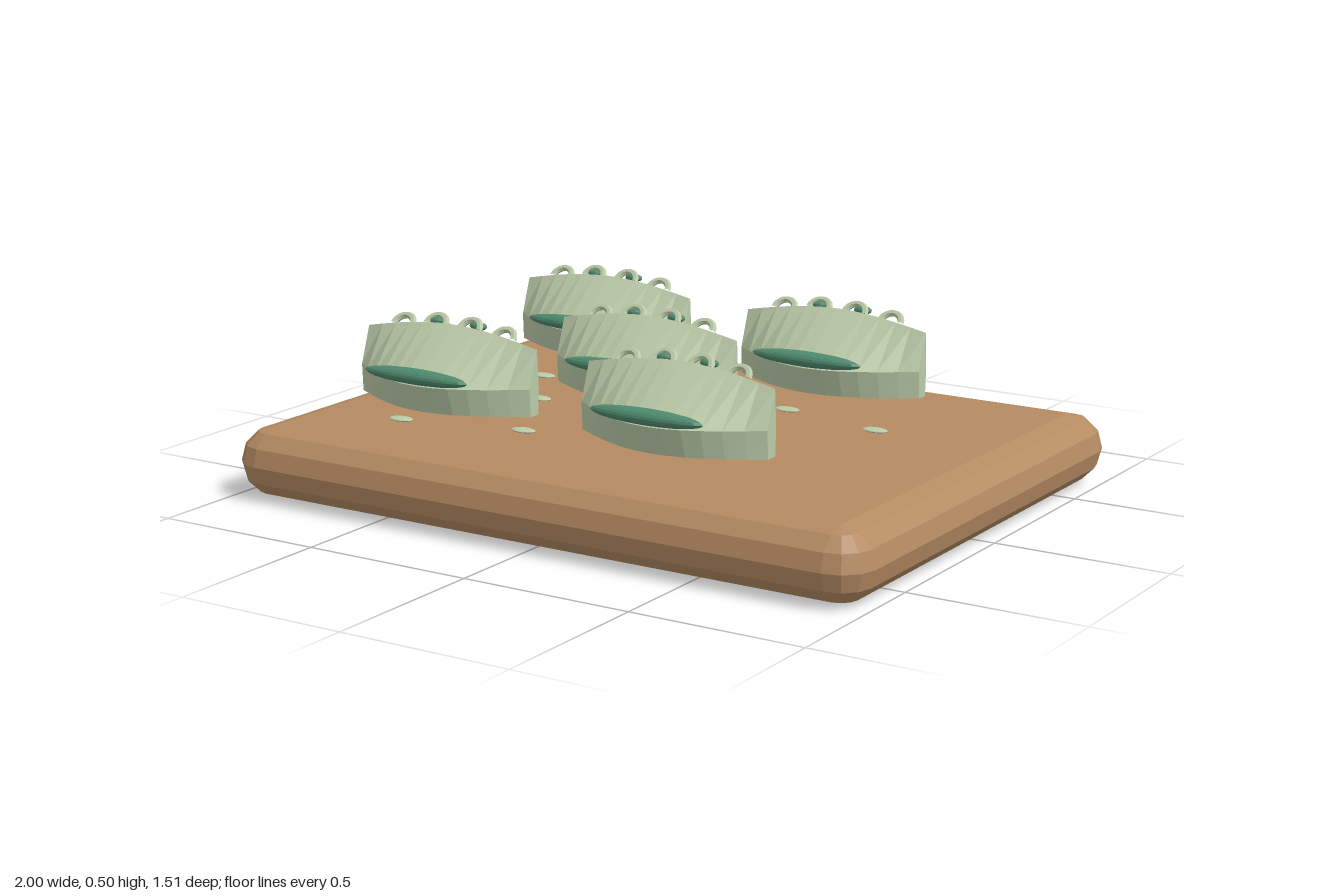
import * as THREE from 'three';
import { ConvexGeometry } from 'three/addons/geometries/ConvexGeometry.js';

const mat = (name, color) => {
  const m = new THREE.MeshStandardMaterial({ color, flatShading: true });
  m.name = name;
  return m;
};

// Slab with ball-rounded edges and corners, in 30 degree steps
function roundedSlab(w, h, d, r) {
  const pts = [];
  for (const sx of [-1, 1]) for (const sy of [-1, 1]) for (const sz of [-1, 1])
    for (let i = 0; i <= 3; i++) for (let j = 0; j <= 3; j++) {
      const a = i * Math.PI / 6, b = j * Math.PI / 6;
      pts.push(new THREE.Vector3(
        sx * (w / 2 - r + r * Math.cos(a) * Math.cos(b)),
        sy * (h / 2 - r + r * Math.sin(a)),
        sz * (d / 2 - r + r * Math.cos(a) * Math.sin(b))));
    }
  return new ConvexGeometry(pts);
}

const LENGTH = 0.58, RIDGE_Z = -0.015;
const swell = x => Math.sin(Math.PI * (x / LENGTH + 0.5));
const ridgeY = x => 0.44 + 0.037 * swell(x);

// Crescent body: five-sided cross-sections that swell towards the middle
function dumplingGeometry(steps = 12) {
  const sections = [];
  for (let s = 0; s <= steps; s++) {
    const x = LENGTH * (s / steps - 0.5);
    const w = 0.022 + 0.134 * swell(x);
    sections.push([[0.257, 0.83 * w], [0.257, -0.83 * w], [0.335, -w],
      [ridgeY(x), RIDGE_Z], [0.335, w]].map(([y, z]) => [x, y, z]));
  }
  const pos = [];
  const tri = (a, b, c) => pos.push(...a, ...b, ...c);
  for (let s = 0; s < steps; s++) for (let i = 0; i < 5; i++) {
    const j = (i + 1) % 5, p = sections[s], q = sections[s + 1];
    tri(p[i], p[j], q[i]);
    tri(p[j], q[j], q[i]);
  }
  const first = sections[0], last = sections[steps];
  for (let i = 1; i < 4; i++) {
    tri(last[0], last[i], last[i + 1]);
    tri(first[0], first[i + 1], first[i]);
  }
  const g = new THREE.BufferGeometry();
  g.setAttribute('position', new THREE.Float32BufferAttribute(pos, 3));
  g.computeVertexNormals();
  return g;
}

export function createModel() {
  const model = new THREE.Group();
  model.name = 'dumplingBoard';
  const wood = mat('wood', 0xb58b62);
  const dough = mat('paleGreenDough', 0xbacaa8);
  const green = mat('darkGreen', 0x4f8a6e);
  const ball = new THREE.SphereGeometry(1, 14, 10);

  const add = (parent, name, geometry, material, x, y, z) => {
    const m = new THREE.Mesh(geometry, material);
    m.name = name;
    m.position.set(x, y, z);
    parent.add(m);
    return m;
  };

  add(model, 'board', roundedSlab(2, 0.2, 1.51, 0.1), wood, 0, 0.1, 0);

  const body = dumplingGeometry();
  const loop = new THREE.TorusGeometry(0.033, 0.01, 6, 10, Math.PI);
  const places = [[-0.515, -0.42], [0.283, -0.39], [-0.11, -0.02], [-0.515, 0.365], [0.257, 0.395]];
  for (const [x, z] of places) {
    const d = new THREE.Group();
    d.name = 'dumpling';
    d.position.set(x, 0, z);
    add(d, 'body', body, dough, 0, 0, 0);
    add(d, 'frontBand', ball, green, 0, 0.361, 0.152).scale.set(0.175, 0.022, 0.029);
    // Pleats leaning back over the ridge
    for (const px of [-0.173, -0.058, 0.058, 0.173])
      add(d, 'pleat', loop, dough, px, ridgeY(px) - 0.008, RIDGE_Z - 0.005).rotation.x = -0.8;
    for (const cx of [-0.07, 0.075])
      add(d, 'chive', ball, green, cx, 0.475, -0.04).scale.set(0.028, 0.012, 0.016);
    model.add(d);
  }

  // Scattered flat seeds
  const seeds = [[-0.13, -0.38], [-0.58, -0.185], [0.555, -0.15], [-0.43, 0.05], [0.025, 0.235],
    [0.395, 0.19], [0.235, -0.22], [-0.62, 0.45], [-0.26, 0.37], [-0.19, 0], [0.2, -0.49]];
  for (const [x, z] of seeds)
    add(model, 'seed', ball, dough, x, 0.213, z).scale.set(0.038, 0.006, 0.023);

  return model;
}
